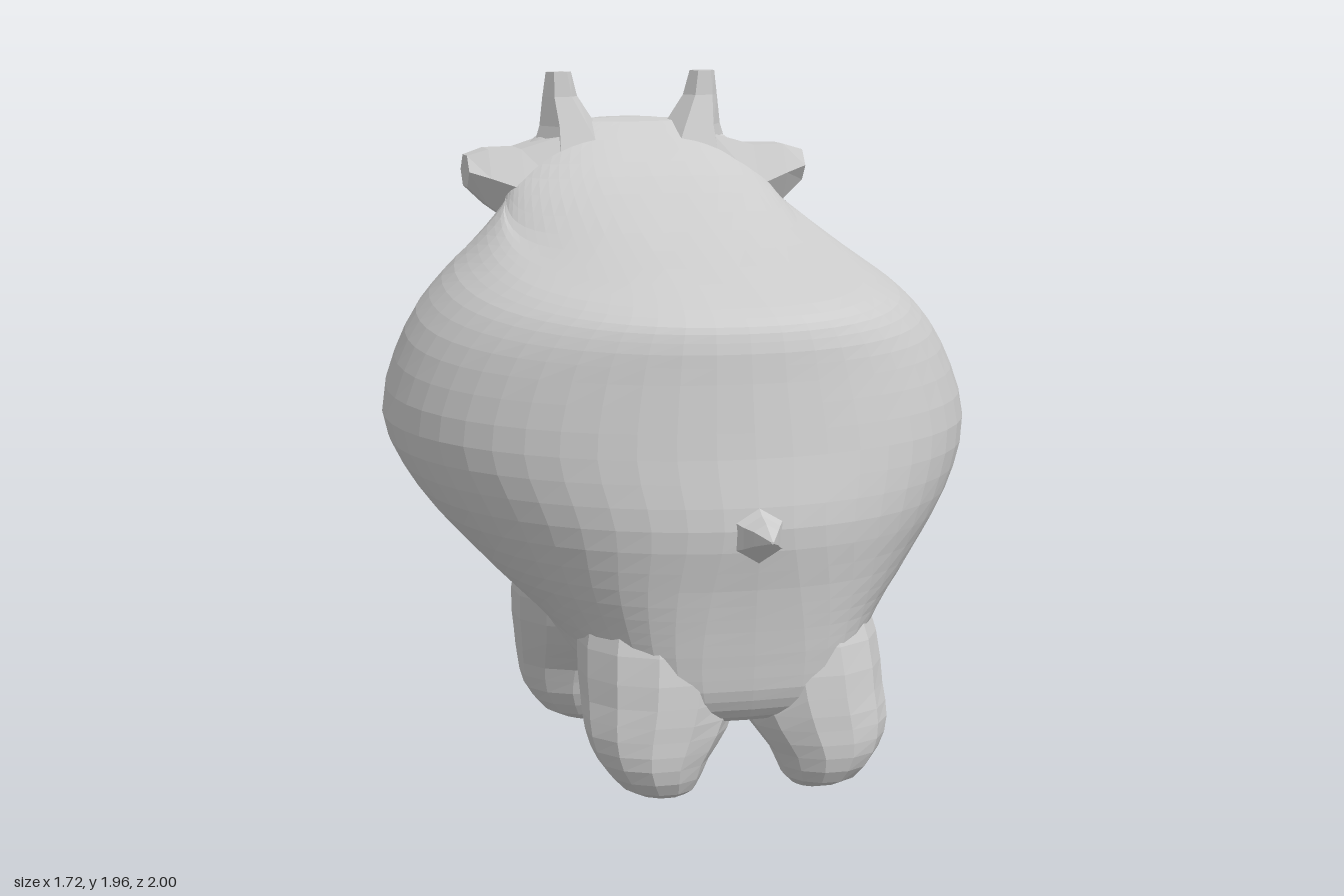
import * as THREE from 'three';

const material = new THREE.MeshStandardMaterial({ color: 0xcccccc, flatShading: true });

// Closed skin through rings of points (same count each), smoothed along its length
function skin(name, rings, steps) {
  const cols = rings[0].length;
  const rows = (rings.length - 1) * steps + 1;
  const pos = [], index = [];
  const curves = rings[0].map((_, j) => new THREE.CatmullRomCurve3(rings.map((r) => r[j]), false, 'catmullrom', 0.5));
  for (let i = 0; i < rows; i++)
    for (const c of curves) pos.push(...c.getPoint(i / (rows - 1)).toArray());
  const at = (i, j) => i * cols + (j % cols);
  for (let i = 0; i < rows - 1; i++)
    for (let j = 0; j < cols; j++)
      index.push(at(i, j), at(i, j + 1), at(i + 1, j + 1), at(i, j), at(i + 1, j + 1), at(i + 1, j));
  // end caps
  for (const [i, ring] of [[0, rings[0]], [rows - 1, rings[rings.length - 1]]]) {
    const mid = ring.reduce((s, p) => s.add(p), new THREE.Vector3()).divideScalar(cols);
    const m = pos.length / 3;
    pos.push(mid.x, mid.y, mid.z);
    for (let j = 0; j < cols; j++)
      i === 0 ? index.push(m, at(i, j + 1), at(i, j)) : index.push(m, at(i, j), at(i, j + 1));
  }
  const g = new THREE.BufferGeometry();
  g.setAttribute('position', new THREE.Float32BufferAttribute(pos, 3));
  g.setIndex(index);
  g.computeVertexNormals();
  const mesh = new THREE.Mesh(g, material);
  mesh.name = name;
  return mesh;
}

// Limb growing along an axis; stations are [x, y, z, radius u, radius v]
const AXES = { y: ['z', 'x'], x: ['y', 'z'], z: ['x', 'y'] };
function limb(name, axis, sides, steps, stations, side = 1) {
  const [u, v] = AXES[axis];
  const rings = stations.map(([x, y, z, ru, rv]) => {
    const ring = [];
    for (let j = 0; j < sides; j++) {
      const a = ((j + 0.5) / sides) * Math.PI * 2;
      const p = new THREE.Vector3(x, y, z);
      p[u] += Math.cos(a) * ru;
      p[v] += Math.sin(a) * rv;
      p.x *= side;
      ring.push(p);
    }
    return side < 0 ? ring.reverse() : ring;
  });
  return skin(name, rings, steps);
}

// Tilted body rings from belly to crown:
// [y at +z end, +z end, y at -z end, -z end, half width, rise power, roundness, side droop]
const BODY = [
  [0.235, 0.40, 0.24, 0.05, 0.06, 1, 0.9],
  [0.23, 0.60, 0.25, -0.10, 0.16, 1, 0.75],
  [0.23, 0.76, 0.31, -0.32, 0.29, 1, 0.55],
  [0.30, 0.82, 0.42, -0.41, 0.39, 1, 0.52],
  [0.40, 0.835, 0.57, -0.61, 0.455, 1.5, 0.55],
  [0.50, 0.845, 0.66, -0.78, 0.54, 2, 0.65],
  [0.62, 0.86, 0.85, -0.82, 0.65, 3, 0.8],
  [0.79, 0.885, 1.04, -0.88, 0.78, 6, 1],
  [0.98, 0.845, 1.19, -1.00, 0.86, 6, 1],
  [1.18, 0.81, 1.31, -0.95, 0.79, 2, 1],
  [1.29, 0.79, 1.46, -0.88, 0.68, 1.2, 0.95, 0.01],
  [1.35, 0.74, 1.62, -0.82, 0.57, 1, 0.9, 0.05],
  [1.42, 0.53, 1.74, -0.77, 0.485, 1, 0.9, 0.08],
  [1.53, 0.15, 1.79, -0.73, 0.44, 1, 0.85, 0.1],
  [1.66, -0.25, 1.81, -0.68, 0.38, 1, 0.8, 0.06],
  [1.76, -0.42, 1.82, -0.63, 0.29, 1, 0.7, 0.02],
  [1.81, -0.50, 1.82, -0.57, 0.16, 1, 0.7],
];

function bodyRing([yb, zb, yf, zf, w, rise, round, droop = 0], cols) {
  const ring = [];
  for (let j = 0; j < cols; j++) {
    const a = (j / cols) * Math.PI * 2;
    const k = (1 - Math.cos(a)) / 2;
    const s = Math.sin(a);
    const power = round + (0.85 - round) * k;
    // cheeks pinch in a little behind the muzzle, rump is slightly fuller
    const pinch = 1 - 0.2 * Math.exp(-(((k - 0.87) / 0.1) ** 2)) + 0.04 * Math.cos(a);
    ring.push(new THREE.Vector3(
      Math.sign(s) * Math.abs(s) ** power * w * pinch,
      yb + (yf - yb) * k ** rise - droop * s * s,
      zb + (zf - zb) * k
    ));
  }
  return ring;
}

export function createModel() {
  const model = new THREE.Group();
  model.name = 'cow';
  model.add(skin('body', BODY.map((r) => bodyRing(r, 52)), 3));

  for (const side of [1, -1]) {
    const tag = side > 0 ? 'left' : 'right';
    // legs at the +z end, flaring into the flank
    model.add(limb(tag + 'TailEndLeg', 'y', 12, 2, [
      [0.22, 0.01, 0.66, 0.06, 0.05],
      [0.235, 0.045, 0.69, 0.12, 0.105],
      [0.25, 0.12, 0.69, 0.15, 0.155],
      [0.235, 0.20, 0.67, 0.17, 0.20],
      [0.215, 0.29, 0.62, 0.215, 0.22],
      [0.20, 0.43, 0.57, 0.24, 0.23],
      [0.18, 0.62, 0.52, 0.20, 0.20],
    ], side));
    // legs below the head, flaring into the chest
    model.add(limb(tag + 'HeadEndLeg', 'y', 12, 2, [
      [0.24, 0.015, -0.19, 0.07, 0.05],
      [0.255, 0.045, -0.19, 0.125, 0.11],
      [0.27, 0.12, -0.185, 0.16, 0.155],
      [0.26, 0.20, -0.18, 0.18, 0.185],
      [0.25, 0.29, -0.15, 0.22, 0.21],
      [0.25, 0.43, -0.11, 0.25, 0.225],
      [0.24, 0.62, -0.06, 0.22, 0.21],
    ], side));
    // horns
    model.add(limb(tag + 'Horn', 'y', 6, 1, [
      [0.18, 1.70, -0.53, 0.15, 0.14],
      [0.20, 1.80, -0.53, 0.10, 0.09],
      [0.225, 1.89, -0.53, 0.055, 0.055],
      [0.23, 1.965, -0.525, 0.035, 0.04],
    ], side));
    // ears, broad where they leave the head
    model.add(limb(tag + 'Ear', 'x', 6, 1, [
      [0.24, 1.60, -0.52, 0.20, 0.17],
      [0.37, 1.615, -0.50, 0.14, 0.14],
      [0.47, 1.65, -0.49, 0.10, 0.10],
      [0.535, 1.67, -0.48, 0.055, 0.07],
    ], side));
  }

  // stubby tail
  model.add(limb('tail', 'z', 6, 1, [
    [0, 0.775, 0.84, 0.10, 0.10],
    [0, 0.775, 0.90, 0.06, 0.06],
    [0, 0.78, 0.94, 0.04, 0.04],
    [0, 0.78, 1.0, 0.004, 0.004],
  ]));
  return model;
}
